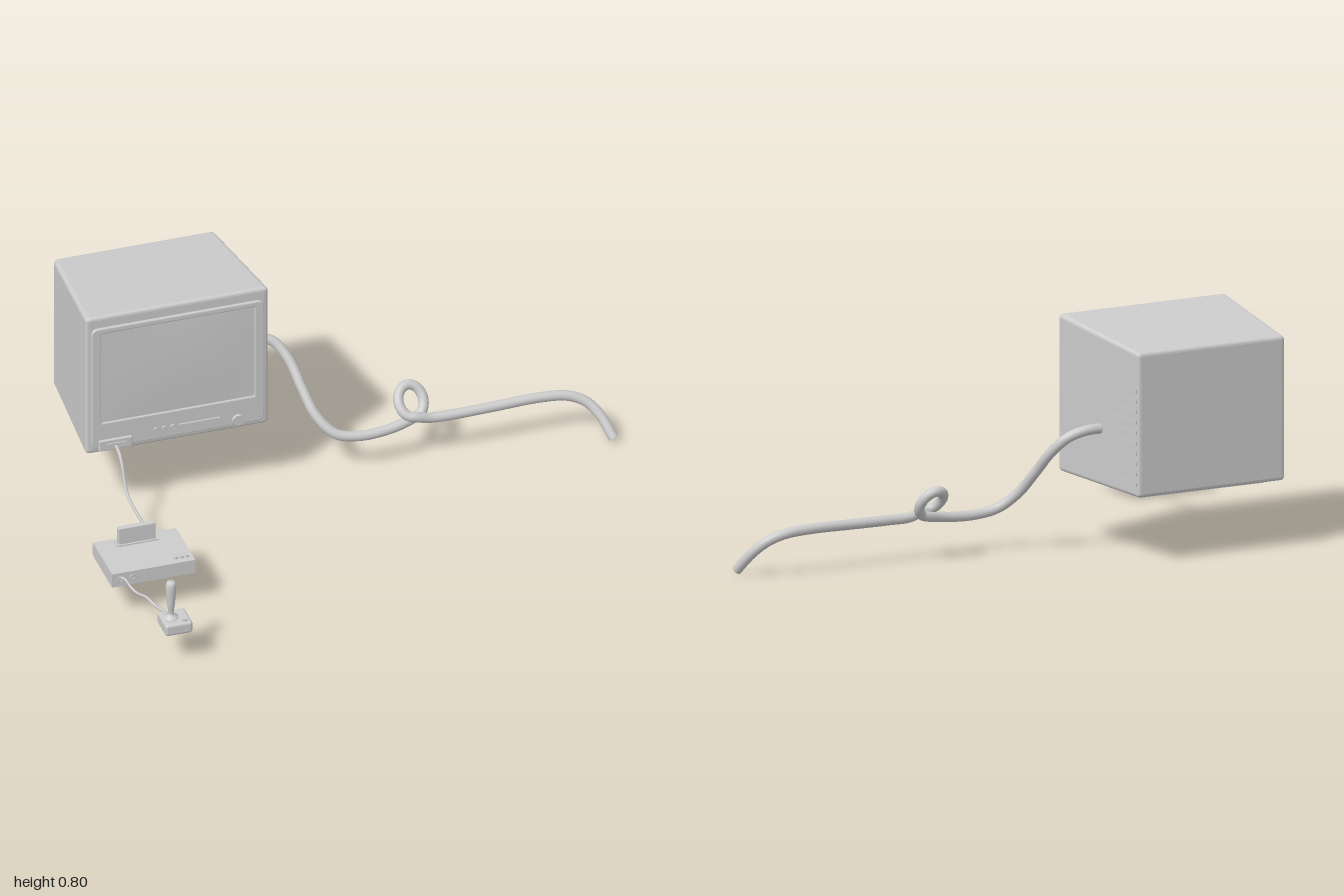
import * as THREE from 'three';
import { RoundedBoxGeometry } from 'three/addons/geometries/RoundedBoxGeometry.js';

const grey = new THREE.MeshStandardMaterial({ color: 0xcccccc });
const lerp = THREE.MathUtils.lerp;

function add(parent, name, geometry, x = 0, y = 0, z = 0) {
  const mesh = new THREE.Mesh(geometry, grey);
  mesh.name = name;
  mesh.position.set(x, y, z);
  parent.add(mesh);
  return mesh;
}

const box = (w, h, d) => new THREE.BoxGeometry(w, h, d);
const rbox = (w, h, d, r) => new RoundedBoxGeometry(w, h, d, 2, r);

function group(parent, name) {
  const g = new THREE.Group();
  g.name = name;
  parent.add(g);
  return g;
}

// Round cord through points, closed by a disc at both ends
function cord(parent, name, points, radius, segments, sides) {
  const curve = new THREE.CatmullRomCurve3(points, false, 'centripetal');
  const g = group(parent, name);
  add(g, name + 'Tube', new THREE.TubeGeometry(curve, segments, radius, sides));
  for (const t of [0, 1]) {
    const p = curve.getPoint(t);
    const cap = add(g, name + 'End', new THREE.CircleGeometry(radius, sides), p.x, p.y, p.z);
    cap.lookAt(p.clone().addScaledVector(curve.getTangent(t), t ? 1 : -1));
  }
}

function rectPath(path, x0, y0, x1, y1, r) {
  path.moveTo(x0 + r, y0);
  path.lineTo(x1 - r, y0);
  path.quadraticCurveTo(x1, y0, x1, y0 + r);
  path.lineTo(x1, y1 - r);
  path.quadraticCurveTo(x1, y1, x1 - r, y1);
  path.lineTo(x0 + r, y1);
  path.quadraticCurveTo(x0, y1, x0, y1 - r);
  path.lineTo(x0, y0 + r);
  path.quadraticCurveTo(x0, y0, x0 + r, y0);
  return path;
}

function buildTelevision(root) {
  const tv = group(root, 'television');
  const cx = -0.555;

  // Cabinet: rounded box tapered towards the back
  const cabinet = rbox(1, 1, 1, 0.025);
  const p = cabinet.attributes.position;
  for (let i = 0; i < p.count; i++) {
    const t = 0.5 - p.getZ(i), u = p.getY(i) + 0.5;
    const bottom = lerp(0.25, 0.24, t), top = lerp(0.803, 0.747, t);
    p.setXYZ(i, cx + p.getX(i) * lerp(0.66, 0.58, t), lerp(bottom, top, u), lerp(-0.253, -0.735, t));
  }
  cabinet.computeVertexNormals();
  add(tv, 'cabinet', cabinet);
  add(tv, 'base', box(0.49, 0.03, 0.37), cx, 0.24, -0.485);

  // Raised bezel around the picture tube
  const frame = rectPath(new THREE.Shape(), cx - 0.307, 0.275, cx + 0.307, 0.755, 0.02);
  frame.holes.push(rectPath(new THREE.Path(), cx - 0.28, 0.37, cx + 0.28, 0.742, 0.008));
  add(tv, 'bezel', new THREE.ExtrudeGeometry(frame, {
    depth: 0.012, bevelThickness: 0.004, bevelSize: 0.004, bevelSegments: 2, curveSegments: 4,
  }), 0, 0, -0.259);

  // Screen bulging slightly in the middle
  const screen = new THREE.PlaneGeometry(0.56, 0.374, 12, 8);
  const s = screen.attributes.position;
  for (let i = 0; i < s.count; i++) {
    s.setZ(i, 0.006 * (1 - (s.getX(i) / 0.28) ** 2) * (1 - (s.getY(i) / 0.187) ** 2));
  }
  screen.computeVertexNormals();
  add(tv, 'screen', screen, cx, 0.556, -0.25);

  // Controls
  const front = -0.242;
  for (let i = 0; i < 3; i++) {
    const b = add(tv, 'smallButton', new THREE.CylinderGeometry(0.01, 0.01, 0.01, 16), -0.635 + i * 0.03, 0.311, front);
    b.rotation.x = Math.PI / 2;
  }
  add(tv, 'controlStrip', box(0.148, 0.013, 0.01), -0.478, 0.311, front);
  const knob = add(tv, 'knob', new THREE.CylinderGeometry(0.02, 0.023, 0.014, 24), -0.34, 0.292, front);
  knob.rotation.x = Math.PI / 2;
  add(tv, 'socketPlate', rbox(0.12, 0.042, 0.016, 0.004), -0.782, 0.286, front);
  add(tv, 'socket', box(0.07, 0.016, 0.012), -0.782, 0.286, front + 0.006);

  // Vent slats on the left side only
  for (let i = 0; i < 10; i++) {
    const vent = add(tv, 'vent', box(0.006, 0.012, 0.135), -0.2593, 0.285 + i * 0.0365, -0.658);
    vent.rotation.y = 0.083;
  }
}

function buildHose(root) {
  // The hose lies in a sloping plane; its loop is shifted sideways so it clears itself
  const onPlane = (x, y, shift = 0) =>
    new THREE.Vector3(x, y + shift * 0.63, -0.495 + (0.45 - y) * 0.81 + shift * 0.78);
  const points = [[-0.26, 0.45], [-0.19, 0.448], [-0.13, 0.425], [-0.09, 0.37], [-0.065, 0.29],
    [-0.035, 0.21], [0.02, 0.155], [0.1, 0.138], [0.19, 0.14], [0.25, 0.148]].map(([x, y]) => onPlane(x, y, -0.01));
  const turns = 12;
  for (let i = 0; i <= turns; i++) {
    const a = -Math.PI / 2 + (i / turns) * Math.PI * 2;
    points.push(onPlane(0.302 + 0.046 * Math.cos(a), 0.205 + 0.045 * Math.sin(a), lerp(-0.014, 0.014, i / turns)));
  }
  for (const [x, y] of [[0.36, 0.152], [0.45, 0.15], [0.6, 0.152], [0.75, 0.154],
    [0.85, 0.146], [0.91, 0.122], [0.95, 0.08], [0.982, 0.013]]) points.push(onPlane(x, y));
  cord(root, 'hose', points, 0.018, 200, 16);
}

function buildConsole(root) {
  const unit = group(root, 'console');
  add(unit, 'consoleBody', box(0.3, 0.053, 0.2), -0.85, 0.154, 0.288);
  add(unit, 'consoleBack', box(0.3, 0.045, 0.02), -0.85, 0.154, 0.18);

  // Slot rim with the cartridge standing in it
  const rim = rectPath(new THREE.Shape(), -0.075, -0.018, 0.075, 0.018, 0.003);
  rim.holes.push(rectPath(new THREE.Path(), -0.068, -0.011, 0.068, 0.011, 0.002));
  const slot = add(unit, 'slotRim', new THREE.ExtrudeGeometry(rim, { depth: 0.006, bevelEnabled: false }), -0.855, 0.179, 0.212);
  slot.rotation.x = -Math.PI / 2;
  add(unit, 'cartridge', rbox(0.134, 0.075, 0.02, 0.003), -0.855, 0.21, 0.212);

  for (let i = 0; i < 3; i++) {
    add(unit, 'consoleButton', new THREE.CylinderGeometry(0.007, 0.007, 0.012, 12), -0.76 + i * 0.02, 0.182, 0.358);
  }
  // Controller ports on the front
  for (const x of [-0.97, -0.925]) {
    const port = add(unit, 'port', new THREE.TorusGeometry(0.009, 0.003, 8, 16), x, 0.155, 0.388);
    port.scale.z = 0.8;
  }
}

function buildJoystick(root) {
  const stick = group(root, 'joystick');
  add(stick, 'joystickBase', rbox(0.098, 0.045, 0.1, 0.01), -0.87, 0.142, 0.683);
  // Collar, neck and bulging grip in one lathe
  const profile = [[0.026, 0], [0.025, 0.008], [0.011, 0.013], [0.008, 0.022], [0.01, 0.03], [0.014, 0.06],
    [0.018, 0.115], [0.018, 0.138], [0.013, 0.148], [0, 0.149]].map(([r, y]) => new THREE.Vector2(r, y));
  add(stick, 'grip', new THREE.LatheGeometry(profile, 20), -0.885, 0.162, 0.683);
  add(stick, 'fireButton', new THREE.CylinderGeometry(0.01, 0.01, 0.01, 16), -0.845, 0.167, 0.713);
}

export function createModel() {
  const root = new THREE.Group();
  root.name = 'televisionWithGameConsole';
  buildTelevision(root);
  buildHose(root);
  buildConsole(root);
  buildJoystick(root);

  const v = (x, y, z) => new THREE.Vector3(x, y, z);
  cord(root, 'consoleCable', [v(-0.782, 0.147, 0.18), v(-0.782, 0.147, 0.08), v(-0.782, 0.147, -0.05),
    v(-0.782, 0.158, -0.11), v(-0.782, 0.195, -0.14), v(-0.782, 0.24, -0.165), v(-0.782, 0.27, -0.195),
    v(-0.782, 0.283, -0.245)], 0.006, 60, 8);
  cord(root, 'joystickCable', [v(-0.86, 0.137, 0.64), v(-0.88, 0.132, 0.59), v(-0.897, 0.132, 0.545),
    v(-0.915, 0.143, 0.505), v(-0.932, 0.135, 0.46), v(-0.945, 0.142, 0.43), v(-0.958, 0.162, 0.405),
    v(-0.97, 0.16, 0.38)], 0.005, 60, 8);
  return root;
}
